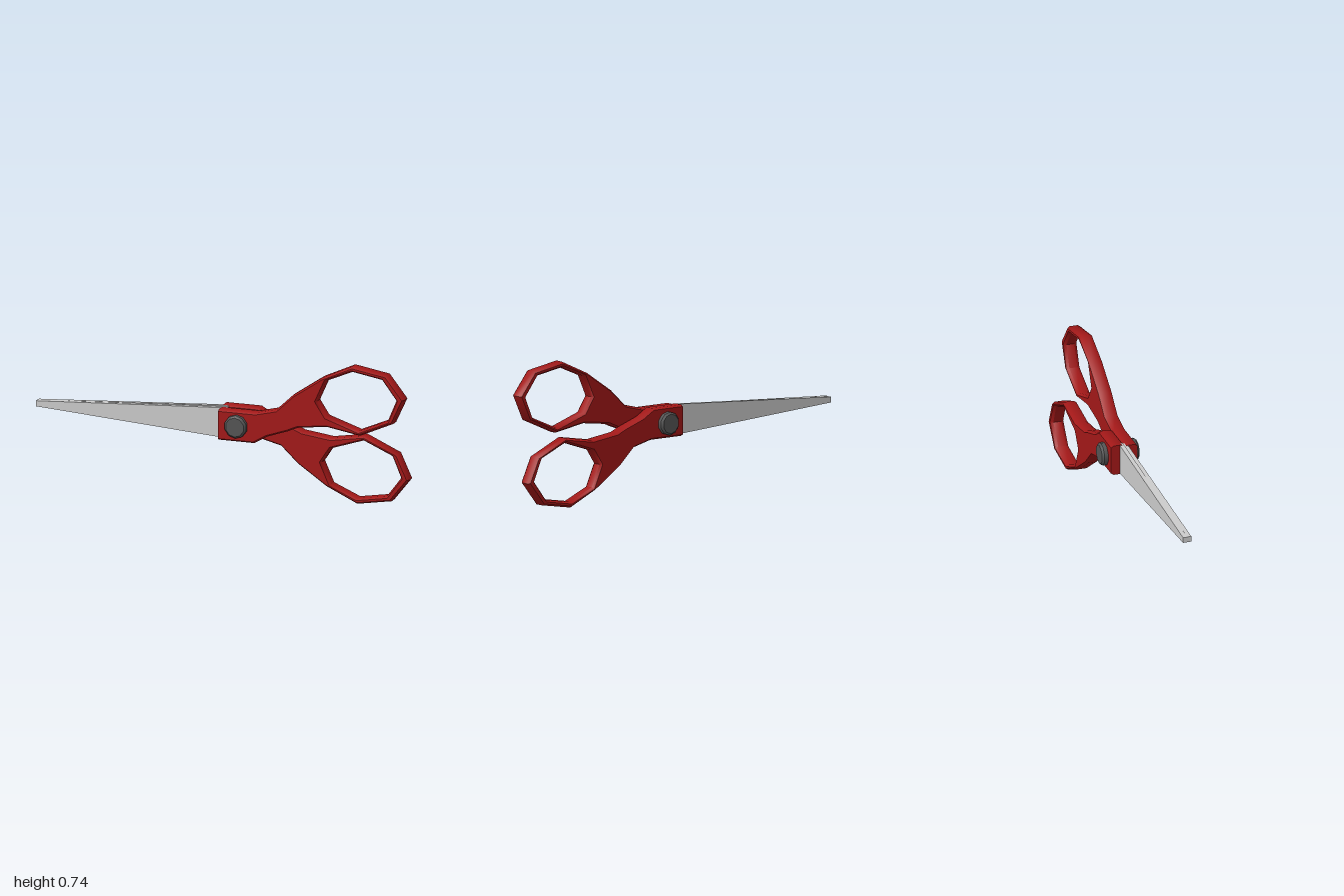
import * as THREE from 'three';
import { toCreasedNormals } from 'three/addons/utils/BufferGeometryUtils.js';

const AXIS_Y = 0.371, AXIS_Z = -0.003; // hinge line the two halves turn about
const red = new THREE.MeshStandardMaterial({ color: 0xa31818 });
const steel = new THREE.MeshStandardMaterial({ color: 0xcccccc });
const dark = new THREE.MeshStandardMaterial({ color: 0x555555 });

const outline = [
  [0, 0.287], [0.19, 0.287], [0.26, 0.328], [0.37, 0.366], [0.425, 0.39], [0.58, 0.41],
  [0.76, 0.38], [0.94, 0.46], [1, 0.59], [0.905, 0.71], [0.72, 0.741], [0.555, 0.665],
  [0.40, 0.56], [0.31, 0.475], [0.2, 0.448], [0, 0.448],
];
const fingerHole = [
  [0.58, 0.463], [0.53, 0.54], [0.58, 0.652], [0.72, 0.712],
  [0.88, 0.685], [0.957, 0.583], [0.91, 0.472], [0.755, 0.405],
];
const bladeOutline = [[0.03, 0.29], [0.03, 0.447], [0, 0.446], [-1, 0.386], [-1, 0.357], [0, 0.29]];

const points = (list) => list.map(([x, y]) => new THREE.Vector2(x, y - AXIS_Y));

function part(name, geometry, material) {
  const mesh = new THREE.Mesh(geometry, material);
  mesh.name = name;
  return mesh;
}

// Handle: chamfered plate with a finger hole
function handleGeometry() {
  const shape = new THREE.Shape(points(outline));
  shape.holes.push(new THREE.Path(points(fingerHole)));
  const bevel = 0.014;
  const geo = new THREE.ExtrudeGeometry(shape, {
    depth: 0.07 - 2 * bevel, bevelEnabled: true, bevelThickness: bevel,
    bevelSize: 0.009, bevelOffset: -0.009, bevelSegments: 1,
  });
  geo.translate(0, 0, bevel);
  // Keep the end against the blade square
  const pos = geo.attributes.position;
  for (let i = 0; i < pos.count; i++) if (pos.getX(i) < 0.02) pos.setX(i, 0);
  return toCreasedNormals(geo, 0.9);
}

// Pivot cap: chamfered disc on the outer face
function capGeometry() {
  const profile = [[0, 0.06], [0.06, 0.06], [0.06, 0.09], [0.05, 0.1], [0, 0.1]];
  const geo = new THREE.LatheGeometry(profile.map(([r, h]) => new THREE.Vector2(r, h)), 10);
  geo.rotateX(Math.PI / 2).translate(0.1, 0, 0);
  return toCreasedNormals(geo, 0.65);
}

function createHalf(name) {
  const half = new THREE.Group();
  half.name = name;
  const bladeGeo = new THREE.ExtrudeGeometry(new THREE.Shape(points(bladeOutline)), {
    depth: 0.022, bevelEnabled: false,
  });
  half.add(
    part('handle', handleGeometry(), red),
    part('blade', bladeGeo, steel),
    part('pivotCap', capGeometry(), dark),
  );
  half.position.set(0, AXIS_Y, AXIS_Z);
  return half;
}

export function createModel() {
  const group = new THREE.Group();
  group.name = 'scissors';
  const front = createHalf('frontHalf');
  const back = createHalf('backHalf');
  back.rotation.x = Math.PI; // same half turned over about the hinge line
  group.add(front, back);
  return group;
}
